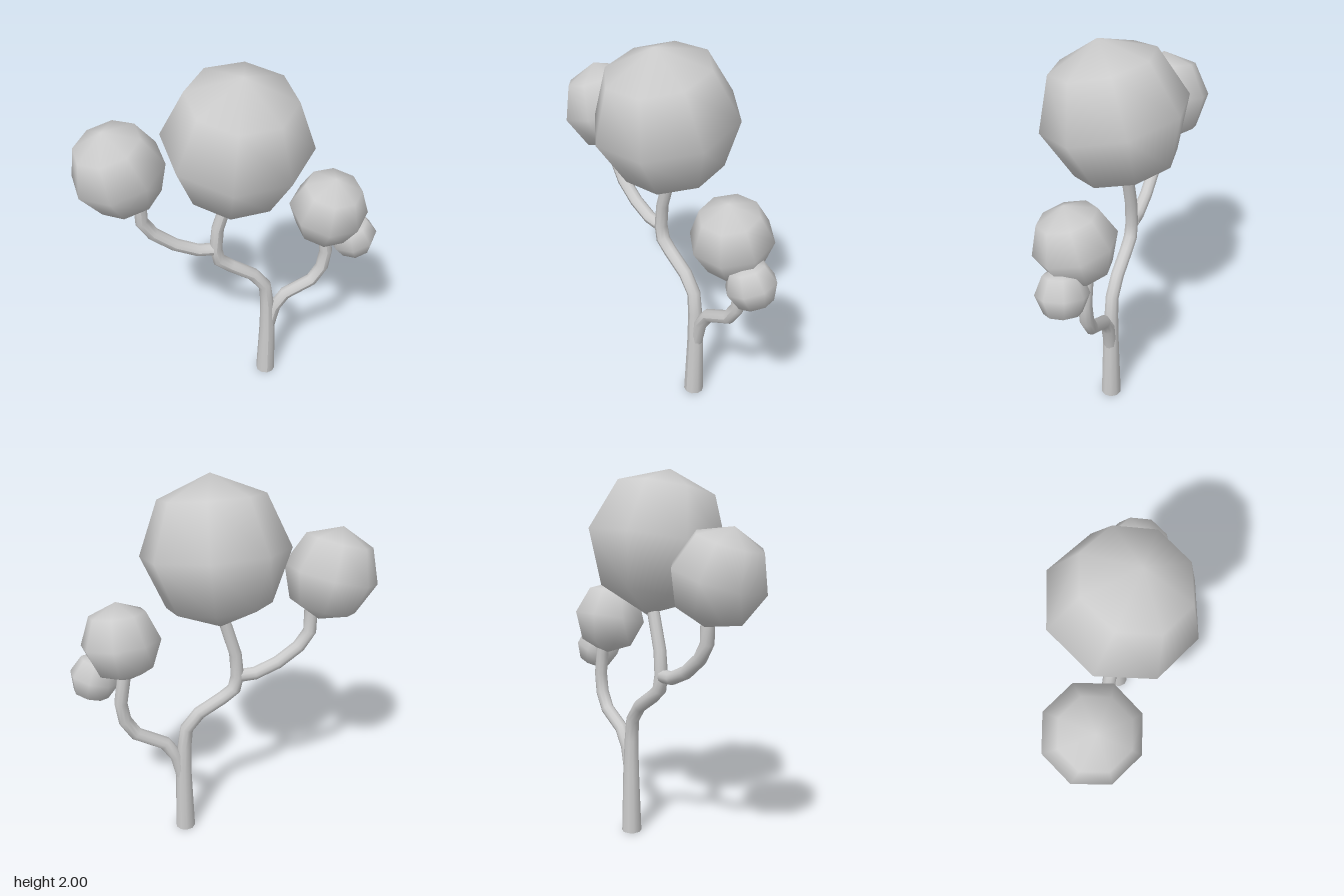
import * as THREE from 'three';

const material = new THREE.MeshStandardMaterial({ color: 0xcccccc });
const STEM_Z = -0.055;

// Bends a capped cylinder along a path of [x, y, radius] points in one upright plane
function limb(name, points) {
  const last = points.length - 1;
  const geo = new THREE.CylinderGeometry(1, 1, 1, 10, last);
  const pos = geo.attributes.position;
  const spot = points.map(([x, y]) => new THREE.Vector2(x, y));
  for (let i = 0; i < pos.count; i++) {
    const k = Math.round((pos.getY(i) + 0.5) * last);
    const before = spot[k].clone().sub(spot[Math.max(k - 1, 0)]).normalize();
    const after = spot[Math.min(k + 1, last)].clone().sub(spot[k]).normalize();
    const t = before.add(after).normalize();
    const r = points[k][2];
    const side = pos.getX(i) * r;
    pos.setXYZ(i, spot[k].x + t.y * side, spot[k].y - t.x * side, STEM_Z + pos.getZ(i) * r);
  }
  geo.computeVertexNormals();
  const mesh = new THREE.Mesh(geo, material);
  mesh.name = name;
  return mesh;
}

// Coarse, smooth-shaded ball of leaves, tilted a little
function foliage(name, radius, x, y, z, roll) {
  const mesh = new THREE.Mesh(new THREE.SphereGeometry(radius, 8, 4), material);
  mesh.position.set(x, y, z);
  mesh.rotation.set(0.21, -0.24, roll);
  mesh.name = name;
  return mesh;
}

export function createModel() {
  const tree = new THREE.Group();
  tree.name = 'tree';

  // Trunk and its two branches
  tree.add(
    limb('trunk', [
      [0.21, 0, 0.055], [0.212, 0.36, 0.044], [0.205, 0.54, 0.038], [0.19, 0.66, 0.036],
      [0.12, 0.75, 0.036], [-0.005, 0.83, 0.036], [-0.068, 0.88, 0.037],
      [-0.085, 0.96, 0.035], [-0.073, 1.09, 0.033], [-0.015, 1.28, 0.032], [0, 1.34, 0.032],
    ]),
    limb('leftBranch', [
      [0.217, 0.34, 0.036], [0.25, 0.49, 0.036], [0.31, 0.58, 0.036], [0.46, 0.66, 0.036],
      [0.515, 0.75, 0.036], [0.53, 0.86, 0.035], [0.51, 0.98, 0.035], [0.5, 1.05, 0.035],
    ]),
    limb('rightBranch', [
      [-0.1, 0.957, 0.035], [-0.18, 0.962, 0.035], [-0.3, 1.015, 0.035],
      [-0.41, 1.1, 0.035], [-0.465, 1.185, 0.035], [-0.465, 1.3, 0.034], [-0.465, 1.36, 0.034],
    ]),
  );

  // Foliage balls
  tree.add(
    foliage('crownFoliage', 0.375, 0.02, 1.632, 0, -0.03),
    foliage('rightFoliage', 0.24, -0.555, 1.5, -0.062, 0.26),
    foliage('leftFoliage', 0.207, 0.505, 1.185, 0, -0.06),
    foliage('smallLeftFoliage', 0.13, 0.65, 0.995, 0.003, 0.3),
  );
  return tree;
}
